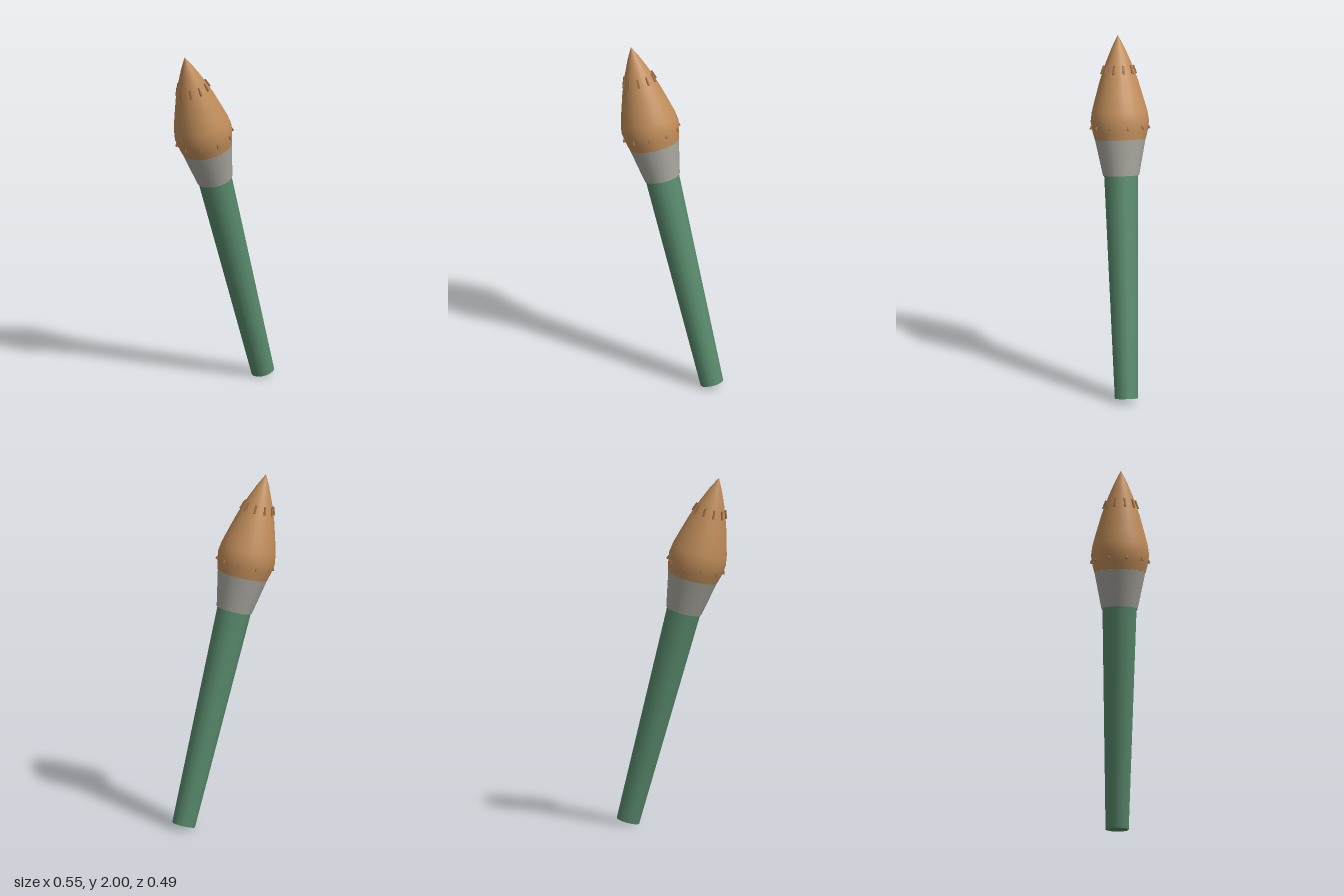
import * as THREE from 'three';

const material = (name, color, extra = {}) => {
  const m = new THREE.MeshStandardMaterial({ color, ...extra });
  m.name = name;
  return m;
};

export function createModel() {
  const green = material('green paint', 0x58896b);
  const metal = material('grey metal', 0xa6a59d);
  const tan = material('tan bristle', 0xbf8c59);
  const brown = material('brown bristle', 0x9c6c40);

  // The brush is built upright, then leaned along its axis
  const brush = new THREE.Group();
  brush.name = 'brush';
  const add = (name, geometry, mat, y = 0) => {
    const mesh = new THREE.Mesh(geometry, mat);
    mesh.name = name;
    mesh.position.y = y;
    brush.add(mesh);
    return mesh;
  };

  // Tapered handle and flared ferrule
  add('handle', new THREE.CylinderGeometry(0.097, 0.066, 1.265, 16), green, 0.6325);
  add('ferrule', new THREE.CylinderGeometry(0.143, 0.102, 0.205, 24), metal, 1.3605);

  // Pointed bristle head
  const profile = [
    [0.144, 1.463], [0.156, 1.51], [0.165, 1.565], [0.157, 1.62], [0.138, 1.69],
    [0.108, 1.795], [0.07, 1.9], [0.036, 1.98], [0, 2.051],
  ].map(([r, y]) => new THREE.Vector2(r, y));
  add('bristleHead', new THREE.LatheGeometry(profile, 24), tan);

  // Rings of small loose hairs, leaning in towards the tip
  const hairRing = (name, r, y, length, lean, phase) => {
    const ring = new THREE.Group();
    ring.name = name;
    const geometry = new THREE.CylinderGeometry(0.005, 0.007, length, 6);
    for (let i = 0; i < 10; i++) {
      const pivot = new THREE.Group();
      pivot.name = 'hairPivot';
      pivot.rotation.y = Math.PI - phase - (i * Math.PI) / 5;
      const hair = new THREE.Mesh(geometry, brown);
      hair.name = 'hair';
      hair.position.set(0, y, r);
      hair.rotation.x = -lean;
      pivot.add(hair);
      ring.add(pivot);
    }
    brush.add(ring);
  };
  hairRing('lowerHairs', 0.162, 1.53, 0.02, 0.25, 0.07);
  hairRing('upperHairs', 0.09, 1.855, 0.05, 0.3, 0.035);

  // Lean with the lowest rim on the ground
  const axis = new THREE.Vector3(-0.415, 1.98, 0.337).normalize();
  brush.quaternion.setFromUnitVectors(new THREE.Vector3(0, 1, 0), axis);
  brush.position.set(0.205, 0.0172, -0.177);

  const model = new THREE.Group();
  model.name = 'paintbrush';
  model.add(brush);
  return model;
}
